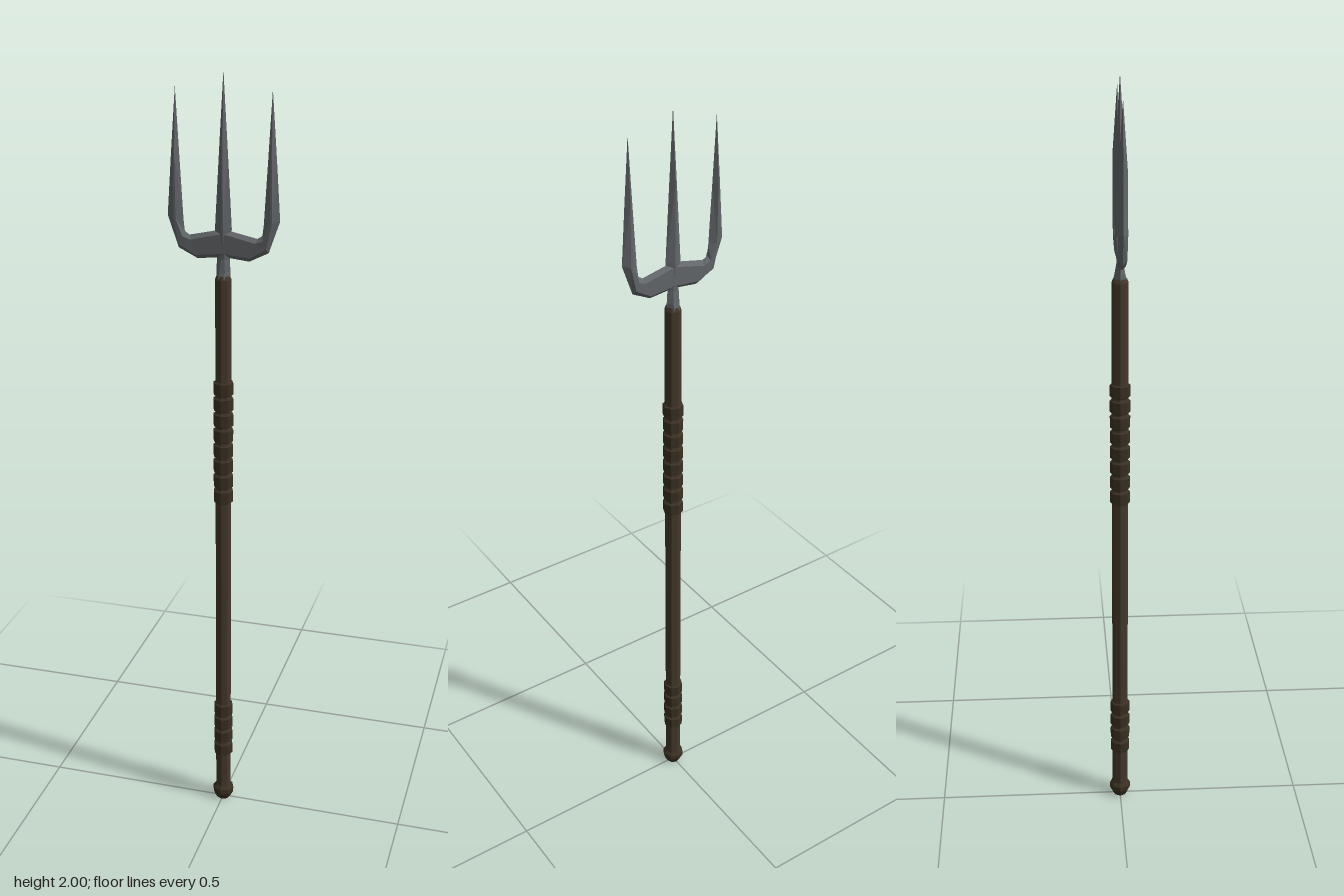
import * as THREE from 'three';

const mat = (name, color) => {
  const m = new THREE.MeshStandardMaterial({ color });
  m.name = name;
  return m;
};

// Six-sided blade swept through stations: [innerX, innerY, outerX, outerY, halfDepth, ridgeInset]
function blade(stations, side = 1) {
  const rings = stations.map(([ix, iy, ox, oy, d, f]) =>
    [[0, 0], [f, d], [1 - f, d], [1, 0], [1 - f, -d], [f, -d]].map(([t, z]) =>
      [side * (ix + (ox - ix) * t), iy + (oy - iy) * t, z]));
  const pos = [];
  const tri = (a, b, c) => pos.push(...a, ...(side > 0 ? b : c), ...(side > 0 ? c : b));
  for (let i = 0; i < rings.length - 1; i++) {
    for (let j = 0; j < 6; j++) {
      const k = (j + 1) % 6;
      tri(rings[i][j], rings[i][k], rings[i + 1][k]);
      tri(rings[i][j], rings[i + 1][k], rings[i + 1][j]);
    }
  }
  const g = new THREE.BufferGeometry();
  g.setAttribute('position', new THREE.Float32BufferAttribute(pos, 3));
  g.computeVertexNormals();
  return g;
}

// Eight-sided turned part with hard facets
function turned(points) {
  const g = new THREE.LatheGeometry(points.map(([r, y]) => new THREE.Vector2(r, y)), 8).toNonIndexed();
  g.computeVertexNormals();
  return g;
}

export function createModel() {
  const model = new THREE.Group();
  model.name = 'trident';
  const wood = mat('dark wood', 0x45382b);
  const leather = mat('leather wrap', 0x3a3022);
  const steel = mat('steel', 0x63666a);
  for (const m of [wood, leather, steel]) m.flatShading = true;

  const add = (name, geometry, material, parent = model) => {
    const mesh = new THREE.Mesh(geometry, material);
    mesh.name = name;
    parent.add(mesh);
    return mesh;
  };

  // Shaft and butt cap
  add('shaft', turned([[0, 0.02], [0.021, 0.02], [0.021, 1.505], [0.017, 1.515], [0, 1.515]]), wood);
  add('buttCap', turned([[0, 0], [0.019, 0], [0.029, 0.02], [0.029, 0.033], [0.021, 0.042]]), leather);

  // Grip wraps: stacked bevelled rings
  const pitch = 0.042;
  const ring = turned([[0.02, 0], [0.026, 0.004], [0.026, 0.034], [0.02, 0.038]]);
  for (const [name, base, count] of [['upperGrip', 0.912, 8], ['lowerGrip', 0.145, 4]]) {
    const grip = new THREE.Group();
    grip.name = name;
    model.add(grip);
    for (let i = 0; i < count; i++) add('gripRing', ring, leather, grip).position.y = base + i * pitch;
  }

  // Fork head
  const head = new THREE.Group();
  head.name = 'forkHead';
  model.add(head);

  // Neck and centre prong: [height, halfWidth, halfDepth, ridgeInset]
  const centre = [
    [1.505, 0.018, 0.018, 0.3], [1.525, 0.018, 0.013, 0.3], [1.555, 0.016, 0.008, 0.35],
    [1.63, 0.021, 0.012, 0.45], [1.82, 0.0105, 0.0115, 0.45], [2, 0, 0, 0.45],
  ];
  add('centreProng', blade(centre.map(([y, w, d, f]) => [-w, y, w, y, d, f])), steel, head);

  // Crossbar arm bending up into each outer prong
  const arm = [
    [0, 1.628, 0, 1.56, 0.01, 0.15],
    [0.02, 1.624, 0.02, 1.558, 0.01, 0.15],
    [0.085, 1.61, 0.065, 1.553, 0.01, 0.18],
    [0.097, 1.618, 0.113, 1.577, 0.011, 0.25],
    [0.1, 1.645, 0.14, 1.655, 0.012, 0.42],
    [0.109, 1.8, 0.13, 1.8, 0.011, 0.45],
    [0.118, 1.96, 0.118, 1.96, 0, 0.45],
  ];
  add('leftProng', blade(arm, 1), steel, head);
  add('rightProng', blade(arm, -1), steel, head);

  return model;
}
